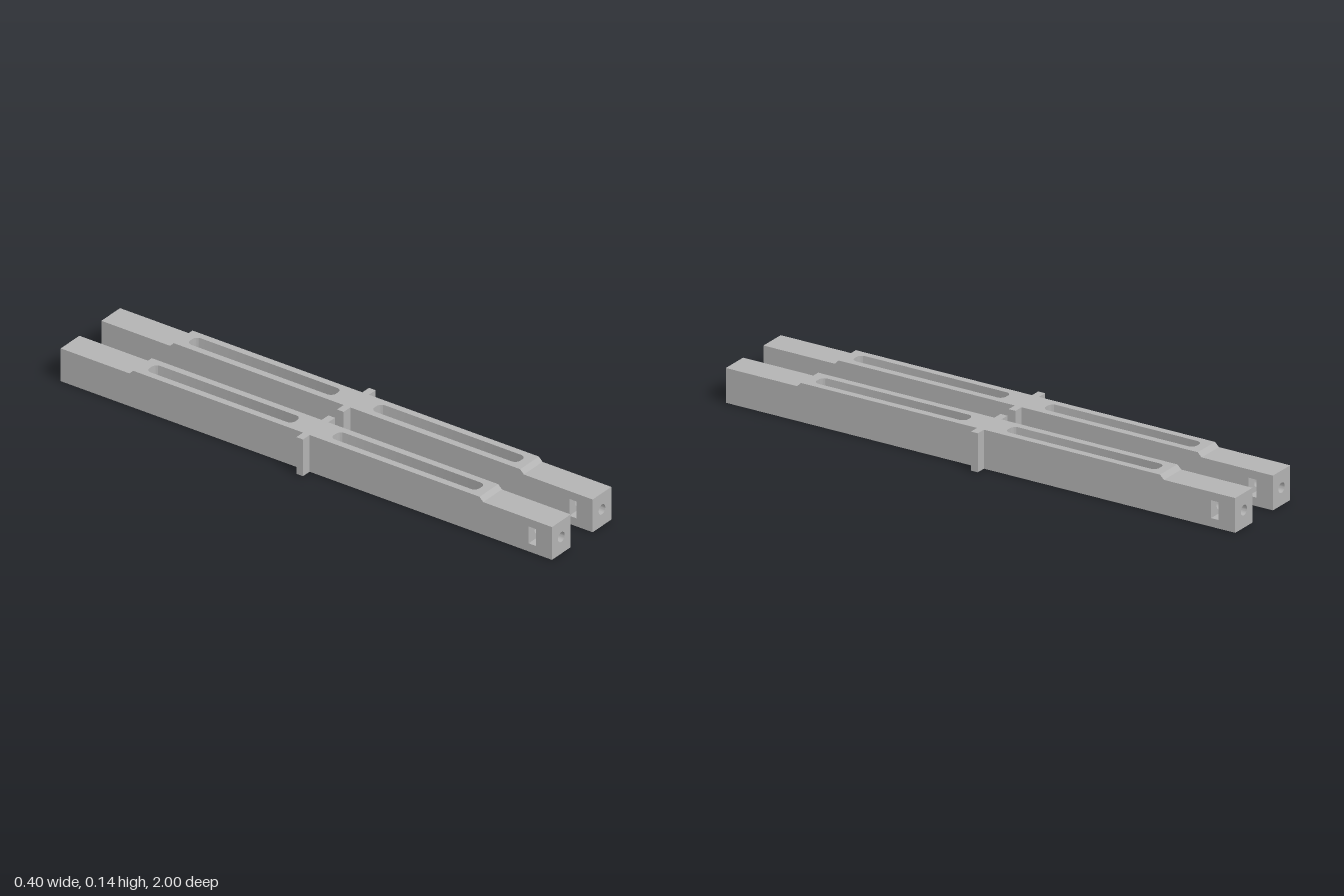
import * as THREE from 'three';
import { toCreasedNormals } from 'three/addons/utils/BufferGeometryUtils.js';

const W = 0.052;                      // half width of a beam
const TOP = 0.139, END = 0.124;       // height in the middle and at the ends
const HOLE_Y = 0.0625, HOLE_R = 0.0185;
const NUT = { z0: 0.905, z1: 0.935, half: 0.032, flat: 0.0185, tip: 0.037 };
const SEG = 12;

// Double sided because the beams are built as thin shells
const grey = new THREE.MeshStandardMaterial({ color: 0xb3b3b3, side: THREE.DoubleSide });
grey.name = 'grey';

function add(group, name, geometry) {
  const mesh = new THREE.Mesh(geometry, grey);
  mesh.name = name;
  group.add(mesh);
  return mesh;
}

function polygon(points, holes = []) {
  const shape = new THREE.Shape(points.map(([x, y]) => new THREE.Vector2(x, y)));
  shape.holes.push(...holes);
  return shape;
}

const rect = (x0, y0, x1, y1) => [[x0, y0], [x1, y0], [x1, y1], [x0, y1]];
const panel = (points, holes) => new THREE.ShapeGeometry(polygon(points, holes), SEG);

// Clockwise circle for the bolt hole
const circle = () => new THREE.Path().absarc(0, HOLE_Y, HOLE_R, 0, Math.PI * 2, true);

// Clockwise rounded window outline
function windowPath(sign) {
  const w = 0.0265, r = 0.021, y0 = sign * 0.375 - 0.297, y1 = y0 + 0.594;
  const p = new THREE.Path(), q = Math.PI / 2;
  p.moveTo(-w, y0 + r);
  p.lineTo(-w, y1 - r);
  p.absarc(-w + r, y1 - r, r, 2 * q, q, true);
  p.absarc(w - r, y1 - r, r, q, 0, true);
  p.absarc(w - r, y0 + r, r, 0, -q, true);
  p.absarc(-w + r, y0 + r, r, -q, -2 * q, true);
  return p;
}

// Wall swept along z from z0 to z1, facing the right-hand side of the path
function wall(points, z0, z1) {
  const pos = [];
  for (let i = 0; i + 1 < points.length; i++) {
    const a = points[i], b = points[i + 1];
    if (Math.hypot(a.x - b.x, a.y - b.y) < 1e-6) continue;
    pos.push(a.x, a.y, z0, b.x, b.y, z0, b.x, b.y, z1);
    pos.push(a.x, a.y, z0, b.x, b.y, z1, a.x, a.y, z1);
  }
  const g = new THREE.BufferGeometry();
  g.setAttribute('position', new THREE.Float32BufferAttribute(pos, 3));
  return toCreasedNormals(g, 0.5);
}

const vecs = (list) => list.map(([x, y]) => new THREE.Vector2(x, y));

// One side, one lowered end, its bolt hole and its nut pocket
function createHalf() {
  const half = new THREE.Group();
  half.name = 'beamHalf';
  const top = HOLE_Y + NUT.half, bottom = HOLE_Y - NUT.half;

  const slot = new THREE.Path(vecs(rect(NUT.z0, bottom, NUT.z1, top)));
  const profile = [[-1, 0], [1, 0], [1, END], [0.72, END], [0.705, TOP],
    [-0.705, TOP], [-0.72, END], [-1, END]];
  add(half, 'beamSide', panel(profile, [slot]).rotateY(-Math.PI / 2).translate(-W, 0, 0));

  const step = vecs([[1, END], [0.72, END], [0.705, TOP]]);
  add(half, 'steppedEndTop', wall(step, -W, W).rotateY(-Math.PI / 2));

  add(half, 'endFace', panel(rect(-W, 0, W, END), [circle()]).translate(0, 0, 1));
  const ring = circle().getPoints(SEG);
  add(half, 'boltHoleOuter', wall(ring, NUT.z1, 1));
  add(half, 'boltHoleInner', wall(ring, 0.8, NUT.z0));
  add(half, 'boltHoleFloor', new THREE.CircleGeometry(HOLE_R, SEG * 2).translate(0, HOLE_Y, 0.8));

  // Nut pocket with a pointed inner end
  const pocket = [[-W, top], [NUT.flat, top], [NUT.tip, HOLE_Y], [NUT.flat, bottom], [-W, bottom]];
  add(half, 'nutPocketWall', wall(vecs(pocket), NUT.z0, NUT.z1));
  for (const z of [NUT.z0, NUT.z1]) {
    add(half, 'nutPocketCheek', panel(pocket, [circle()]).translate(0, 0, z));
  }
  return half;
}

function createBeam(x) {
  const beam = new THREE.Group();
  beam.name = 'beam';
  beam.position.x = x;

  const windows = [windowPath(1), windowPath(-1)];
  add(beam, 'beamTop', panel(rect(-W, -0.705, W, 0.705), windows)
    .rotateX(-Math.PI / 2).translate(0, TOP, 0));
  add(beam, 'beamBottom', panel(rect(-W, -1, W, 1), windows).rotateX(Math.PI / 2));
  for (const path of windows) {
    add(beam, 'windowWall', wall(path.getPoints(SEG).concat(path.getPoint(0)), 0, TOP)
      .rotateX(-Math.PI / 2));
  }

  // The two halves match under a half turn
  for (const turn of [0, Math.PI]) {
    const half = createHalf();
    half.rotation.y = turn;
    beam.add(half);
  }

  // Upright tabs at mid length
  for (const s of [-1, 1]) {
    add(beam, 'sideTab', new THREE.BoxGeometry(0.037, TOP, 0.027))
      .position.set(s * (W + 0.0185), TOP / 2, 0);
  }
  return beam;
}

export function createModel() {
  const model = new THREE.Group();
  model.name = 'pairedBeams';
  for (const x of [-0.113, 0.113]) model.add(createBeam(x));
  return model;
}
